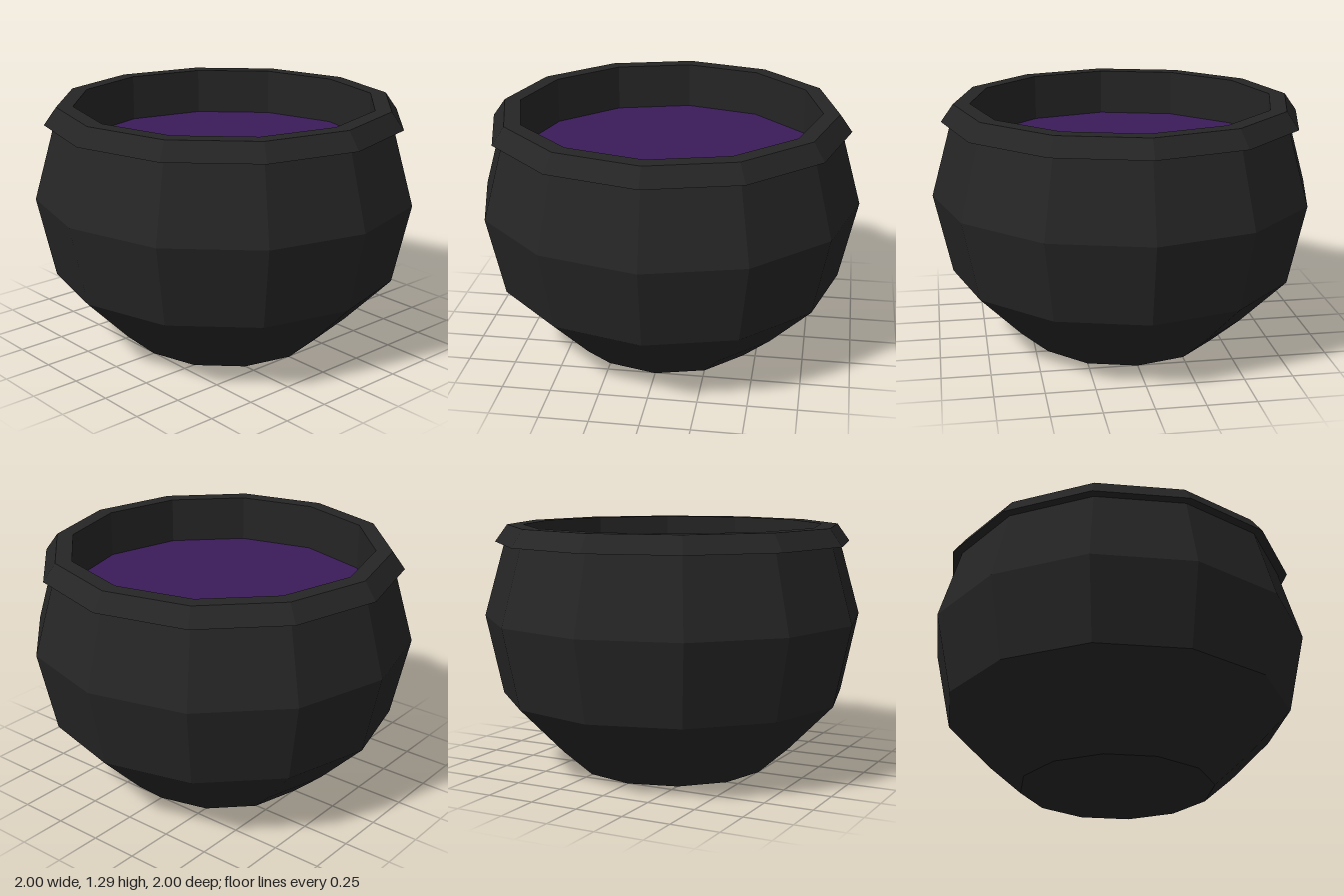
import * as THREE from 'three';

const SIDES = 12;

// Faceted ring of revolution from [radius, height] pairs, listed bottom-up on the outside
function lathe(name, profile, material) {
  const points = profile.map(([r, y]) => new THREE.Vector2(r, y));
  const mesh = new THREE.Mesh(new THREE.LatheGeometry(points, SIDES), material);
  mesh.name = name;
  return mesh;
}

export function createModel() {
  const group = new THREE.Group();
  group.name = 'cauldron';

  const iron = new THREE.MeshStandardMaterial({ color: 0x252525, flatShading: true });
  const potion = new THREE.MeshStandardMaterial({ color: 0x3b1c5a, flatShading: true });
  const liquidLevel = 1.045;
  const mouth = 0.79;

  // Closed base and bulging bowl
  group.add(lathe('bowl', [
    [0, 0], [0.505, 0], [0.67, 0.145], [0.91, 0.39], [1, 0.81], [0.89, 1.2],
  ], iron));

  // Overhanging lip: underside, sloped outside, flat top and inner wall
  group.add(lathe('rim', [
    [0.89, 1.2], [0.94, 1.2], [0.875, 1.29], [mouth, 1.29], [mouth, liquidLevel],
  ], iron));

  // Liquid surface
  const liquid = new THREE.Mesh(new THREE.CircleGeometry(mouth, SIDES), potion);
  liquid.name = 'liquid';
  liquid.rotation.x = -Math.PI / 2;
  liquid.position.y = liquidLevel;
  group.add(liquid);

  return group;
}
